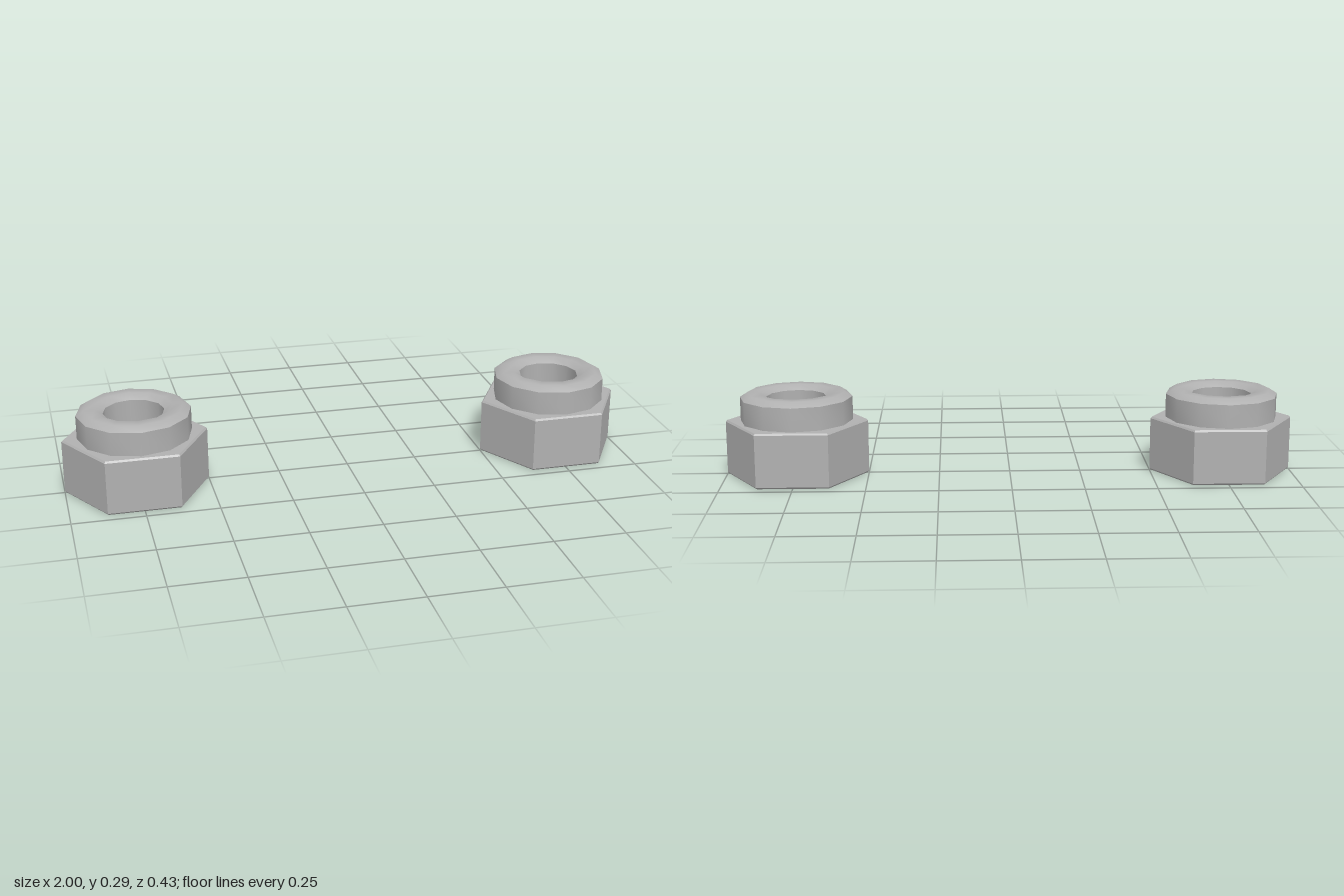
import * as THREE from 'three';
import { toCreasedNormals } from 'three/addons/utils/BufferGeometryUtils.js';

const steel = new THREE.MeshStandardMaterial({ color: 0xb0b0b0 });
steel.name = 'steel';

const HEX_R = 0.25, HEX_TOP = 0.195, BEVEL = 0.006, HOLE_R = 0.105, COLLAR_R = 0.197;

// Corner points of a regular polygon with a corner on +x
function polygon(radius, sides) {
  return Array.from({ length: sides }, (_, i) => {
    const a = (i / sides) * Math.PI * 2;
    return new THREE.Vector2(radius * Math.cos(a), radius * Math.sin(a));
  });
}

// Revolve a [radius, height] profile, keeping edges sharper than 40 degrees
function revolve(profile, sides, start = 0) {
  const points = profile.map(([r, y]) => new THREE.Vector2(r, y));
  return toCreasedNormals(new THREE.LatheGeometry(points, sides, start), 0.7);
}

// Flat hexagonal face with a round opening
function hexFace(holeRadius, y, direction) {
  const shape = new THREE.Shape(polygon(HEX_R - BEVEL, 6));
  shape.holes.push(new THREE.Path(polygon(holeRadius, 12)));
  return new THREE.ShapeGeometry(shape).rotateX(-direction * Math.PI / 2).translate(0, y, 0);
}

function createNut(name, x) {
  const nut = new THREE.Group();
  nut.name = name;
  nut.position.x = x;
  const add = (part, geometry) => {
    const mesh = new THREE.Mesh(geometry, steel);
    mesh.name = part;
    nut.add(mesh);
  };

  // Six flats with narrow bevels above and below
  const sides = new THREE.LatheGeometry([
    new THREE.Vector2(HEX_R - BEVEL, 0),
    new THREE.Vector2(HEX_R, BEVEL),
    new THREE.Vector2(HEX_R, HEX_TOP - BEVEL),
    new THREE.Vector2(HEX_R - BEVEL, HEX_TOP),
  ], 6, Math.PI / 2);
  add('hexSides', toCreasedNormals(sides, 0.3));
  add('hexTop', hexFace(COLLAR_R, HEX_TOP, 1));
  add('hexBottom', hexFace(HOLE_R, 0, -1));

  // Locking collar with bevelled rim
  add('collar', revolve([
    [COLLAR_R, HEX_TOP], [COLLAR_R, 0.278], [0.17, 0.295], [0.132, 0.295], [HOLE_R, 0.278],
  ], 12));

  // Through hole
  add('bore', revolve([[HOLE_R, 0.278], [HOLE_R, 0]], 12));
  return nut;
}

export function createModel() {
  const model = new THREE.Group();
  model.name = 'lockNutPair';
  model.add(createNut('leftNut', 0.75), createNut('rightNut', -0.75));
  return model;
}
